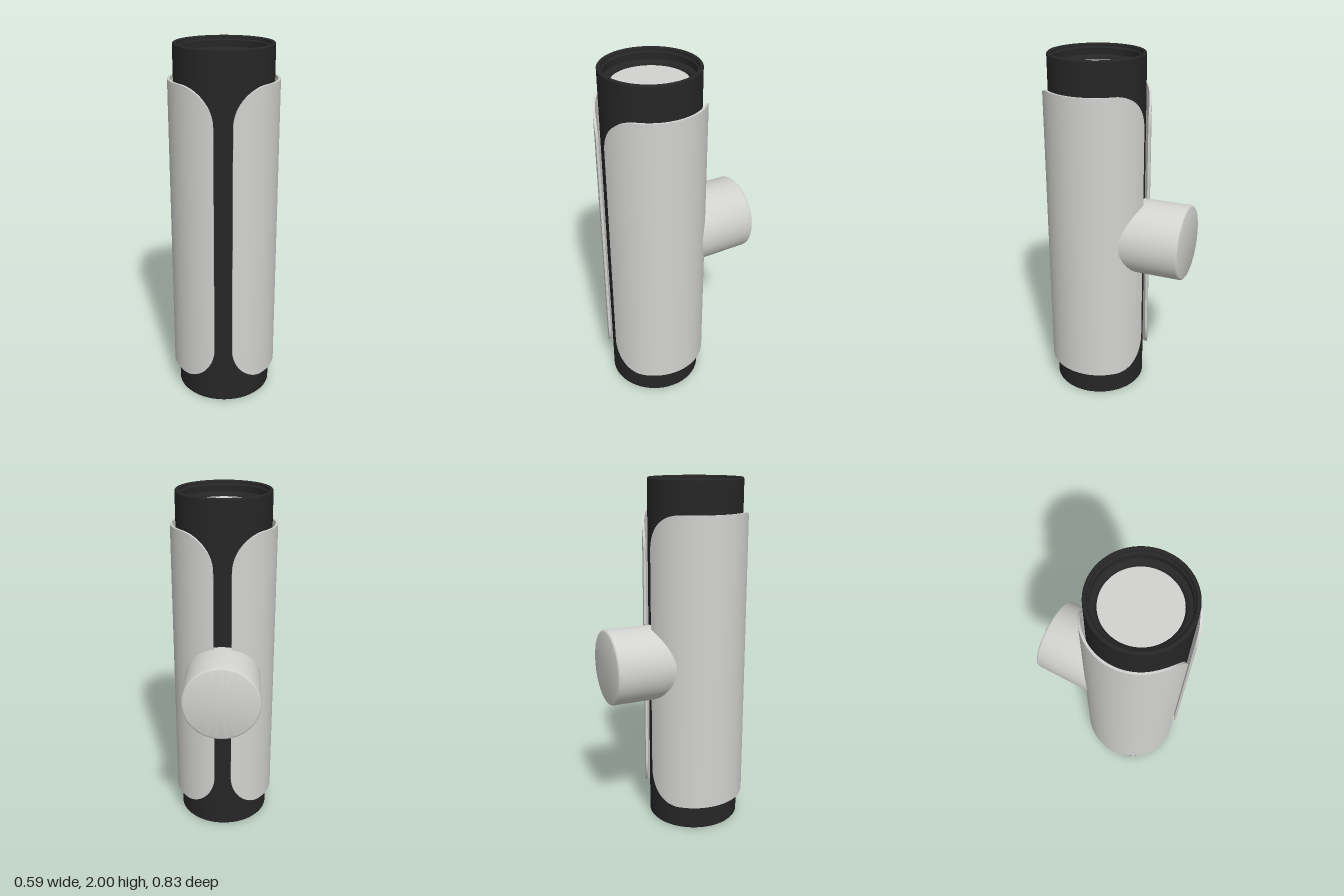
import * as THREE from 'three';
import { toCreasedNormals, mergeGeometries } from 'three/addons/utils/BufferGeometryUtils.js';

const AXIS_Z = 0.123; // tube axis offset, balanced by the rear knob

const lathe = (points, segments = 96) => toCreasedNormals(
  new THREE.LatheGeometry(points.map(([r, y]) => new THREE.Vector2(r, y)), segments), 0.5);

// Smooth strip between two rows of points
function strip(a, b) {
  const g = new THREE.BufferGeometry();
  const index = [];
  for (let i = 0; i < a.length - 1; i++) {
    const p = 2 * i;
    index.push(p, p + 1, p + 2, p + 1, p + 3, p + 2);
  }
  const pos = a.flatMap((v, i) => [...v, ...b[i]]);
  g.setAttribute('position', new THREE.Float32BufferAttribute(pos, 3));
  g.setIndex(index);
  g.computeVertexNormals();
  return g;
}

// Curved cover on the +x side (mirrored by a half turn), with rounded corners
function coverGeometry() {
  const outer = 0.295, inner = 0.282, midY = 0.982, halfH = 0.837, corner = 0.2;
  const start = 0.172, end = Math.PI - start, sweep = corner / outer;
  const columns = []; // [angle from front, half height]
  const N = 20;
  for (let i = 0; i <= N; i++) {
    const t = (i / N) * Math.PI / 2;
    columns.push([start + sweep * (1 - Math.cos(t)), halfH - corner * (1 - Math.sin(t))]);
  }
  const tail = columns.map(([a, h]) => [Math.PI - a, h]).reverse();
  for (let i = 1; i < 32; i++) {
    columns.push([start + sweep + (end - start - 2 * sweep) * i / 32, halfH]);
  }
  columns.push(...tail);

  const row = (r, s) => columns.map(([a, h]) => [r * Math.sin(a), midY + s * h, r * Math.cos(a)]);
  const ot = row(outer, 1), ob = row(outer, -1), it = row(inner, 1), ib = row(inner, -1);
  const last = columns.length - 1;
  return mergeGeometries([
    strip(ot, ob), strip(ib, it), strip(it, ot), strip(ob, ib),
    strip([it[0], ot[0]], [ib[0], ob[0]]),
    strip([ot[last], it[last]], [ob[last], ib[last]]),
  ]);
}

export function createModel() {
  const black = new THREE.MeshStandardMaterial({ color: 0x262626 });
  black.name = 'black';
  const silver = new THREE.MeshStandardMaterial({ color: 0xd2d2d0, side: THREE.DoubleSide });
  silver.name = 'light grey';

  const model = new THREE.Group();
  const add = (name, geometry, material, y = 0, z = AXIS_Z) => {
    const mesh = new THREE.Mesh(geometry, material);
    mesh.name = name;
    mesh.position.set(0, y, z);
    model.add(mesh);
    return mesh;
  };

  // Tube with stepped, recessed rims at both ends
  const rim = [
    [0.2, 0.09], [0.203, 0.075], [0.211, 0.065], [0.222, 0.06], [0.235, 0.06],
    [0.235, 0.025], [0.243, 0.018], [0.245, 0.004], [0.25, 0], [0.26, 0], [0.265, 0.006],
  ];
  const top = rim.map(([r, y]) => [r, 2 - y]).reverse();
  add('tube', lathe([...rim, ...top]), black);

  // End discs
  for (const [name, y, turn] of [['topDisc', 1.918, -1], ['bottomDisc', 0.082, 1]]) {
    add(name, new THREE.CircleGeometry(0.203, 96).rotateX(turn * Math.PI / 2), silver, y);
  }

  // Pair of side covers
  const cover = coverGeometry();
  add('leftCover', cover, silver);
  add('rightCover', cover, silver).rotation.y = Math.PI;

  // Round knob at the back, its inner end buried in the tube
  const knob = lathe([
    [0.213, 0], [0.213, 0.376], [0.211, 0.382], [0.207, 0.386], [0.201, 0.388], [0, 0.388],
  ]).rotateX(-Math.PI / 2);
  add('knob', knob, silver, 0.978, -0.03);

  return model;
}
